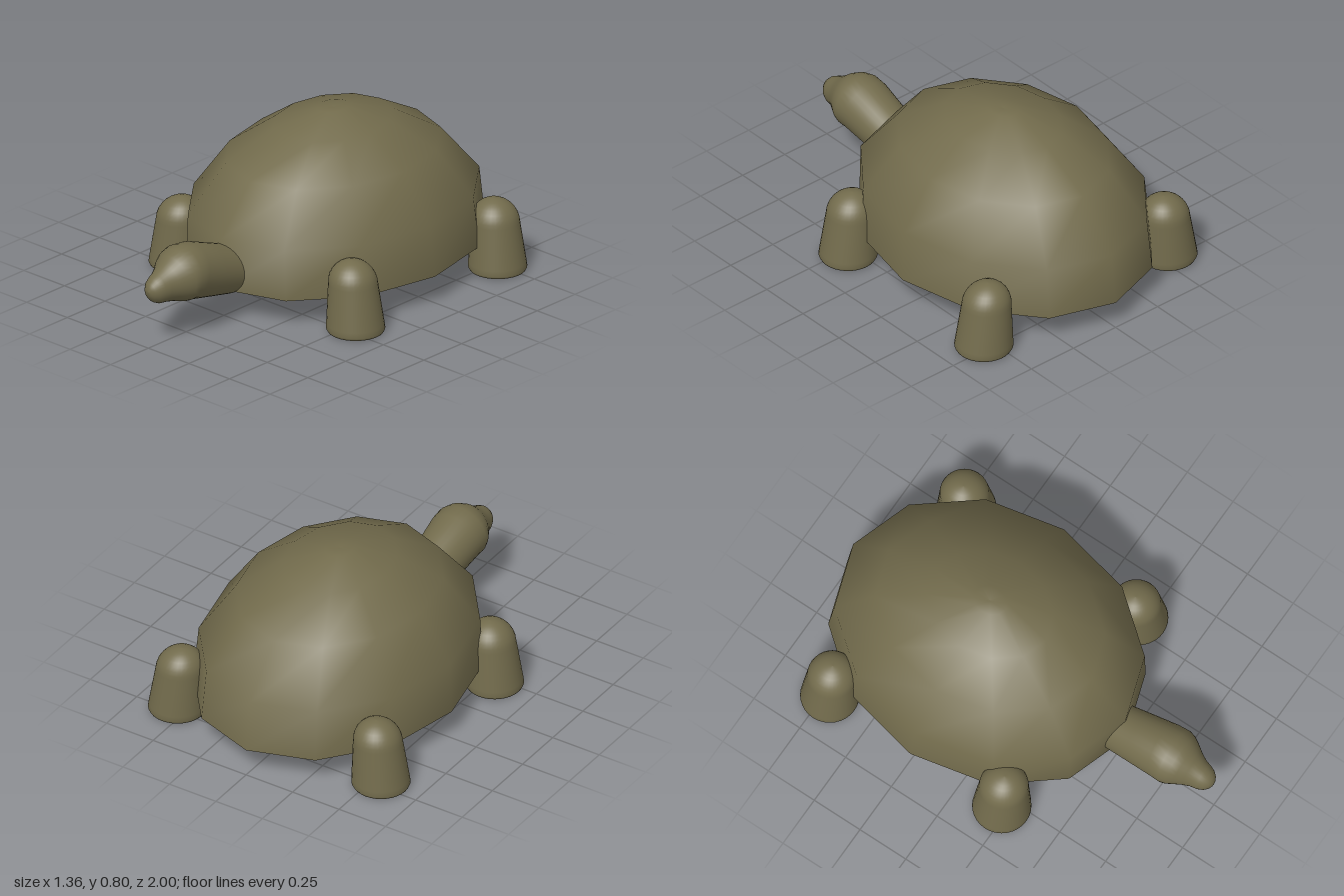
import * as THREE from 'three';

const olive = new THREE.MeshStandardMaterial({ color: 0x726b4c, side: THREE.DoubleSide });
olive.name = 'olive';

// Skin of elliptical rings. Each ring is [x, y, z, halfWidth, halfHeight, tilt];
// tilt 0 faces +z, tilt PI/2 faces +y. A ring of size 0 closes the end.
function loft(name, rings, sides) {
  const pos = [], index = [];
  rings.forEach(([x, y, z, a, b, tilt], i) => {
    for (let j = 0; j < sides; j++) {
      const t = (j / sides) * Math.PI * 2;
      const u = b * Math.sin(t);
      pos.push(x + a * Math.cos(t), y + u * Math.cos(tilt), z - u * Math.sin(tilt));
      if (i === rings.length - 1) continue;
      const p = i * sides + j, q = i * sides + (j + 1) % sides;
      index.push(p, q, q + sides, p, q + sides, p + sides);
    }
  });
  const geo = new THREE.BufferGeometry();
  geo.setAttribute('position', new THREE.Float32BufferAttribute(pos, 3));
  geo.setIndex(index);
  geo.computeVertexNormals();
  const mesh = new THREE.Mesh(geo, olive);
  mesh.name = name;
  return mesh;
}

const UP = Math.PI / 2;

// Open twelve-sided dome
function makeShell() {
  const rings = [
    // y, centre z, half width, half length
    [0.135, -0.24, 0.612, 0.76],
    [0.38, -0.226, 0.595, 0.745],
    [0.605, -0.223, 0.438, 0.553],
    [0.74, -0.223, 0.242, 0.305],
    [0.8, -0.223, 0.065, 0.082],
    [0.795, -0.223, 0, 0],
  ];
  return loft('shell', rings.map(([y, z, a, b]) => [0, y, z, a, b, UP]), 12);
}

// Stubby leg: flat foot, taper leaning inward, round top
function makeLeg(name, side, z) {
  const profile = [[0, 0], [0.115, 0], [0.128, 0.003], [0.134, 0.014], [0.132, 0.04], [0.113, 0.23]];
  for (let i = 1; i <= 8; i++) {
    const t = (i / 8) * UP;
    profile.push([0.113 * Math.cos(t), 0.23 + 0.11 * Math.sin(t)]);
  }
  return loft(name, profile.map(([r, y]) => [side * (0.548 - 0.075 * y), y, z, r, r, UP]), 32);
}

// Neck with a round rear end, swelling into the head and narrowing to the snout
function makeHead() {
  const tilt = 0.26, r = 0.113, rings = [];
  for (let i = 0; i < 8; i++) {
    const t = (i / 8) * UP, back = r * Math.cos(t), s = r * Math.sin(t);
    rings.push([0, 0.225 - back * Math.sin(tilt), 0.485 - back * Math.cos(tilt), s, s, tilt]);
  }
  const path = [
    // z, y, half width, half height, tilt
    [0.485, 0.225, 0.112, 0.113, 0.26],
    [0.61, 0.262, 0.122, 0.123, 0.26],
    [0.735, 0.299, 0.132, 0.132, 0.24],
    [0.785, 0.304, 0.135, 0.131, 0.08],
    [0.815, 0.301, 0.126, 0.124, -0.03],
    [0.845, 0.294, 0.108, 0.11, -0.1],
    [0.88, 0.285, 0.085, 0.091, -0.1],
    [0.915, 0.279, 0.068, 0.077, -0.08],
    [0.945, 0.275, 0.061, 0.069, 0],
    [0.97, 0.274, 0.05, 0.056, 0],
    [0.988, 0.274, 0.034, 0.038, 0],
    [0.997, 0.274, 0.017, 0.019, 0],
    [1, 0.274, 0, 0, 0],
  ];
  path.forEach(([z, y, a, b, t]) => rings.push([0, y, z, a, b, t]));
  return loft('headAndNeck', rings, 32);
}

export function createModel() {
  const model = new THREE.Group();
  model.name = 'tortoise';
  model.add(makeShell(), makeHead());
  for (const [sideName, side] of [['Left', 1], ['Right', -1]]) {
    model.add(makeLeg('front' + sideName + 'Leg', side, 0.215));
    model.add(makeLeg('back' + sideName + 'Leg', side, -0.725));
  }
  return model;
}
